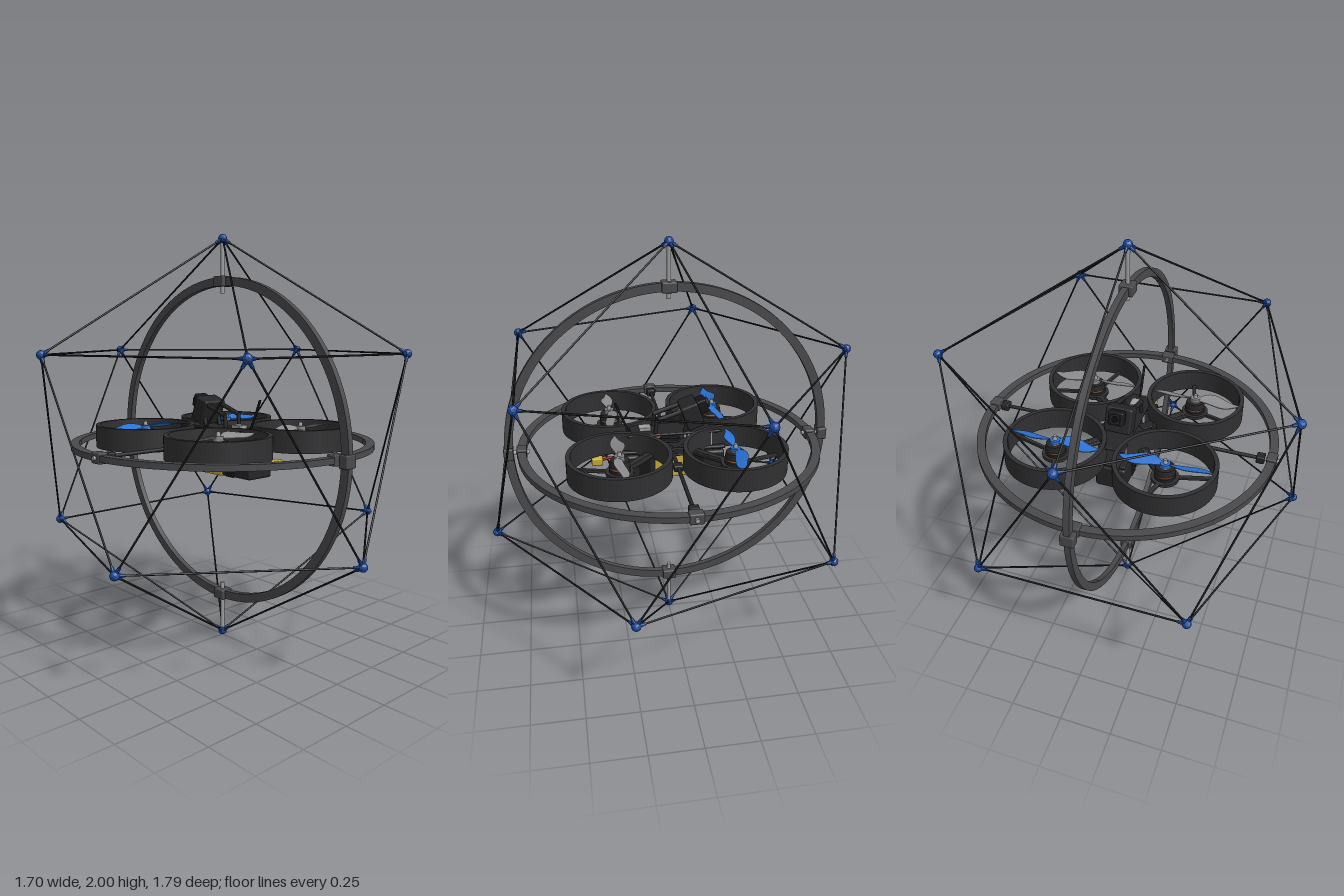
import * as THREE from 'three';
import { RoundedBoxGeometry } from 'three/addons/geometries/RoundedBoxGeometry.js';

const mat = (color, flatShading = false) => new THREE.MeshStandardMaterial({ color, flatShading });
const M = {
  black: mat(0x161618), carbon: mat(0x252527), duct: mat(0x303032), ring: mat(0x4a4a4d),
  steel: mat(0xa0a0a2), node: mat(0x1c4a9c, true), blue: mat(0x2a72d4), grey: mat(0x8a8a8c),
  gold: mat(0xc9aa3c), copper: mat(0xa8683a), red: mat(0xa82a22), lens: mat(0x0a0a10),
};
const V = (x, y, z) => new THREE.Vector3(x, y, z);
const UP = V(0, 1, 0);
const CENTRE = 1.002;

function add(parent, name, geometry, material, x = 0, y = 0, z = 0) {
  const mesh = new THREE.Mesh(geometry, material);
  mesh.name = name;
  mesh.position.set(x, y, z);
  parent.add(mesh);
  return mesh;
}
const box = (parent, name, material, w, h, d, x, y, z, r = 0.006) =>
  add(parent, name, new RoundedBoxGeometry(w, h, d, 2, r), material, x, y, z);
const cyl = (parent, name, material, r, h, x, y, z, r2 = r, n = 28) =>
  add(parent, name, new THREE.CylinderGeometry(r2, r, h, n), material, x, y, z);

// Cylinder from a to b
function rod(parent, name, material, a, b, r, r2 = r, n = 8) {
  const d = b.clone().sub(a);
  const m = add(parent, name, new THREE.CylinderGeometry(r2, r, d.length(), n), material);
  m.position.copy(a).addScaledVector(d, 0.5);
  m.quaternion.setFromUnitVectors(UP, d.normalize());
  return m;
}

// Annulus with rectangular section, standing along y
function band(inner, outer, height, segments = 96) {
  const s = new THREE.Shape().absarc(0, 0, outer, 0, Math.PI * 2);
  s.holes.push(new THREE.Path().absarc(0, 0, inner, 0, Math.PI * 2, true));
  const g = new THREE.ExtrudeGeometry(s, { depth: height, bevelEnabled: false, curveSegments: segments });
  return g.translate(0, 0, -height / 2).rotateX(Math.PI / 2);
}

// Icosahedral cage: struts, ball joints and sockets
function cage() {
  const g = new THREE.Group();
  g.name = 'cage';
  const R = 0.976, h = R / Math.sqrt(5), q = 2 * h;
  const nodes = [V(0, R, 0), V(0, -R, 0)];
  for (let i = 0; i < 5; i++) {
    const a = i * Math.PI * 0.4;
    nodes.push(V(q * Math.sin(a), h, -q * Math.cos(a)), V(q * Math.sin(a), -h, q * Math.cos(a)));
  }
  nodes.forEach((a, i) => {
    add(g, 'cageNode', new THREE.IcosahedronGeometry(0.022, 1), M.node).position.copy(a);
    nodes.forEach((b, j) => {
      if (i === j || a.distanceTo(b) > R * 1.2) return;
      const tip = a.clone().lerp(b, 0.04);
      rod(g, 'nodeSocket', M.node, a, tip, 0.011, 0.007);
      if (i < j) rod(g, 'cageStrut', M.black, a, b, 0.0045);
    });
  });
  return g;
}

// Two gimbal rings, their clamps and pivots
function gimbal() {
  const g = new THREE.Group();
  g.name = 'gimbal';
  add(g, 'outerRing', band(0.755, 0.796, 0.028), M.ring).rotation.z = Math.PI / 2;
  add(g, 'innerRing', band(0.695, 0.736, 0.028), M.ring);
  for (const s of [-1, 1]) {
    box(g, 'outerRingClamp', M.ring, 0.064, 0.05, 0.07, 0, s * 0.776, 0);
    box(g, 'outerRingClamp', M.ring, 0.064, 0.06, 0.046, 0, 0, s * 0.778);
    box(g, 'innerRingClamp', M.ring, 0.064, 0.05, 0.048, 0, 0, s * 0.715);
    box(g, 'innerRingClamp', M.ring, 0.048, 0.05, 0.064, s * 0.715, 0, 0);
    rod(g, 'cagePivot', M.steel, V(0, s * 0.72, 0), V(0, s * 0.976, 0), 0.01, 0.01, 16);
    rod(g, 'ringPivot', M.steel, V(0, 0, s * 0.68), V(0, 0, s * 0.8), 0.01, 0.01, 16);
    rod(g, 'sidePivot', M.steel, V(s * 0.65, 0, 0), V(s * 0.75, 0, 0), 0.01, 0.01, 16);
    rod(g, 'sideArm', M.carbon, V(s * 0.05, 0, 0), V(s * 0.65, 0, 0), 0.009, 0.009, 16);
    box(g, 'sideArmCollar', M.carbon, 0.04, 0.038, 0.046, s * 0.662, 0, 0);
    box(g, 'sideArmBracket', M.carbon, 0.046, 0.03, 0.044, s * 0.27, 0, 0);
  }
  return g;
}

// Leaf-shaped blade with twist, pointing along +x
function bladeGeometry(hand) {
  const L = 0.205;
  const g = new THREE.BoxGeometry(L, 0.004, 1, 16, 1, 4).translate(L / 2, 0, 0);
  const p = g.attributes.position;
  for (let i = 0; i < p.count; i++) {
    const t = p.getX(i) / L;
    const chord = 0.004 + 0.014 * (1 - t) + 0.046 * Math.sin(Math.PI * Math.pow(t, 0.9));
    const z = p.getZ(i) * chord + hand * 0.008 * Math.sin(Math.PI * 2 * t);
    p.setXYZ(i, 0.02 + t * L, p.getY(i) + hand * z * (0.55 - 0.35 * t), z);
  }
  g.computeVertexNormals();
  return g;
}

// Duct, motor and propeller; sx and sz pick the corner
function rotor(sx, sz) {
  const g = new THREE.Group();
  g.name = 'rotor';
  g.position.set(sx * 0.27, 0, sz * 0.27);
  add(g, 'duct', band(0.222, 0.243, 0.108, 48), M.duct, 0, 0.034, 0);
  // Three spokes, the inward one being the arm
  const inward = Math.atan2(-sz, -sx);
  for (let k = 0; k < 3; k++) {
    const a = inward + k * Math.PI * 2 / 3;
    const spoke = box(g, 'ductSpoke', M.duct, 0.18, 0.016, 0.018, Math.cos(a) * 0.14, -0.004, Math.sin(a) * 0.14, 0.003);
    spoke.rotation.y = -a;
  }
  cyl(g, 'motorMount', M.duct, 0.066, 0.016, 0, -0.004, 0);
  cyl(g, 'motorBase', M.carbon, 0.05, 0.014, 0, 0.011, 0);
  cyl(g, 'motorFoot', M.carbon, 0.045, 0.014, 0, -0.018, 0);
  cyl(g, 'motorWinding', M.copper, 0.043, 0.014, 0, 0.024, 0);
  cyl(g, 'motorBell', M.carbon, 0.05, 0.03, 0, 0.045, 0, 0.044);
  cyl(g, 'motorCap', M.steel, 0.026, 0.006, 0, 0.062, 0);
  const paint = sz < 0 ? M.blue : M.grey;
  cyl(g, 'propellerHub', paint, 0.024, 0.016, 0, 0.073, 0);
  cyl(g, 'propellerNut', M.steel, 0.012, 0.022, 0, 0.09, 0, 0.008, 12);
  const blade = bladeGeometry(sx * sz);
  for (const turn of [0, Math.PI]) add(g, 'propellerBlade', blade, paint, 0, 0.074, 0).rotation.y = turn;
  return g;
}

// Central frame, electronics, battery and camera
function body() {
  const g = new THREE.Group();
  g.name = 'body';
  box(g, 'lowerPlate', M.carbon, 0.15, 0.016, 0.54, 0, -0.012, 0);
  box(g, 'middlePlate', M.carbon, 0.25, 0.014, 0.19, 0, -0.012, 0);
  box(g, 'topPlate', M.carbon, 0.13, 0.012, 0.46, 0, 0.07, -0.02, 0.005);
  for (const s of [-1, 1]) {
    for (const z of [-0.2, -0.09, 0.09, 0.18]) cyl(g, 'standoff', M.steel, 0.008, 0.08, s * 0.052, 0.033, z, 0.008, 10);
    box(g, 'sideRail', M.carbon, 0.014, 0.03, 0.18, s * 0.118, 0.008, 0, 0.004);
    for (const t of [-1, 1]) {
      const arm = box(g, 'frameArm', M.carbon, 0.3, 0.016, 0.05, s * 0.155, -0.006, t * 0.155, 0.004);
      arm.rotation.y = -Math.atan2(t, s);
    }
  }
  box(g, 'controlBoard', M.black, 0.09, 0.008, 0.09, 0, 0.02, 0, 0.003);
  box(g, 'powerBoard', M.black, 0.09, 0.008, 0.09, 0, 0.042, 0, 0.003);
  box(g, 'receiver', M.steel, 0.05, 0.018, 0.06, 0, 0.086, 0.12, 0.004);

  // Battery slung underneath, with strap and plug
  box(g, 'battery', M.carbon, 0.148, 0.118, 0.535, 0, -0.09, 0, 0.012);
  box(g, 'batteryStrap', M.gold, 0.156, 0.13, 0.165, 0, -0.087, 0, 0.008);
  for (const z of [-0.13, 0.13]) box(g, 'batteryBand', M.black, 0.154, 0.124, 0.06, 0, -0.089, z, 0.008);
  box(g, 'batteryPlug', M.gold, 0.078, 0.038, 0.055, 0, -0.066, 0.358);
  for (const s of [-1, 1]) {
    const lead = new THREE.CatmullRomCurve3([V(s * 0.025, -0.06, 0.25), V(s * 0.025, -0.05, 0.29), V(s * 0.018, -0.066, 0.34)]);
    add(g, 'batteryLead', new THREE.TubeGeometry(lead, 10, 0.007, 8), s > 0 ? M.red : M.black);
    const wire = new THREE.CatmullRomCurve3([V(s * 0.02, -0.05, 0.26), V(s * 0.03, 0.02, 0.23), V(s * 0.02, 0.04, 0.04)]);
    add(g, 'powerWire', new THREE.TubeGeometry(wire, 14, 0.006, 8), s > 0 ? M.red : M.black);
  }

  // Tilted camera on its mast, looking towards -z
  for (const s of [-1, 1]) {
    rod(g, 'mastPost', M.carbon, V(s * 0.045, 0.06, 0.075), V(s * 0.045, 0.145, 0.065), 0.01);
    rod(g, 'mastBeam', M.carbon, V(s * 0.045, 0.138, 0.07), V(s * 0.045, 0.185, -0.07), 0.012);
    rod(g, 'mastStay', M.carbon, V(s * 0.045, 0.07, -0.07), V(s * 0.045, 0.15, -0.09), 0.01);
  }
  const cam = new THREE.Group();
  cam.name = 'camera';
  cam.position.set(0, 0.152, -0.108);
  cam.rotation.x = 0.35;
  box(cam, 'cameraBody', M.carbon, 0.13, 0.125, 0.085, 0, 0, 0, 0.01);
  box(cam, 'lensHousing', M.black, 0.074, 0.066, 0.055, 0, 0.02, -0.06, 0.008);
  rod(cam, 'lensBarrel', M.carbon, V(0, 0.02, -0.08), V(0, 0.02, -0.098), 0.026, 0.026, 24);
  rod(cam, 'lensGlass', M.lens, V(0, 0.02, -0.09), V(0, 0.02, -0.101), 0.019, 0.017, 24);
  g.add(cam);

  // Antenna
  rod(g, 'antennaStem', M.black, V(0, 0.07, 0.19), V(0, 0.11, 0.215), 0.005);
  rod(g, 'antenna', M.black, V(0, 0.105, 0.212), V(0, 0.222, 0.26), 0.006);
  return g;
}

export function createModel() {
  const model = new THREE.Group();
  model.name = 'cagedDrone';
  const drone = new THREE.Group();
  drone.name = 'drone';
  drone.add(body());
  for (const sx of [-1, 1]) for (const sz of [-1, 1]) drone.add(rotor(sx, sz));
  model.add(cage(), gimbal(), drone);
  for (const part of model.children) part.position.y = CENTRE;
  return model;
}
